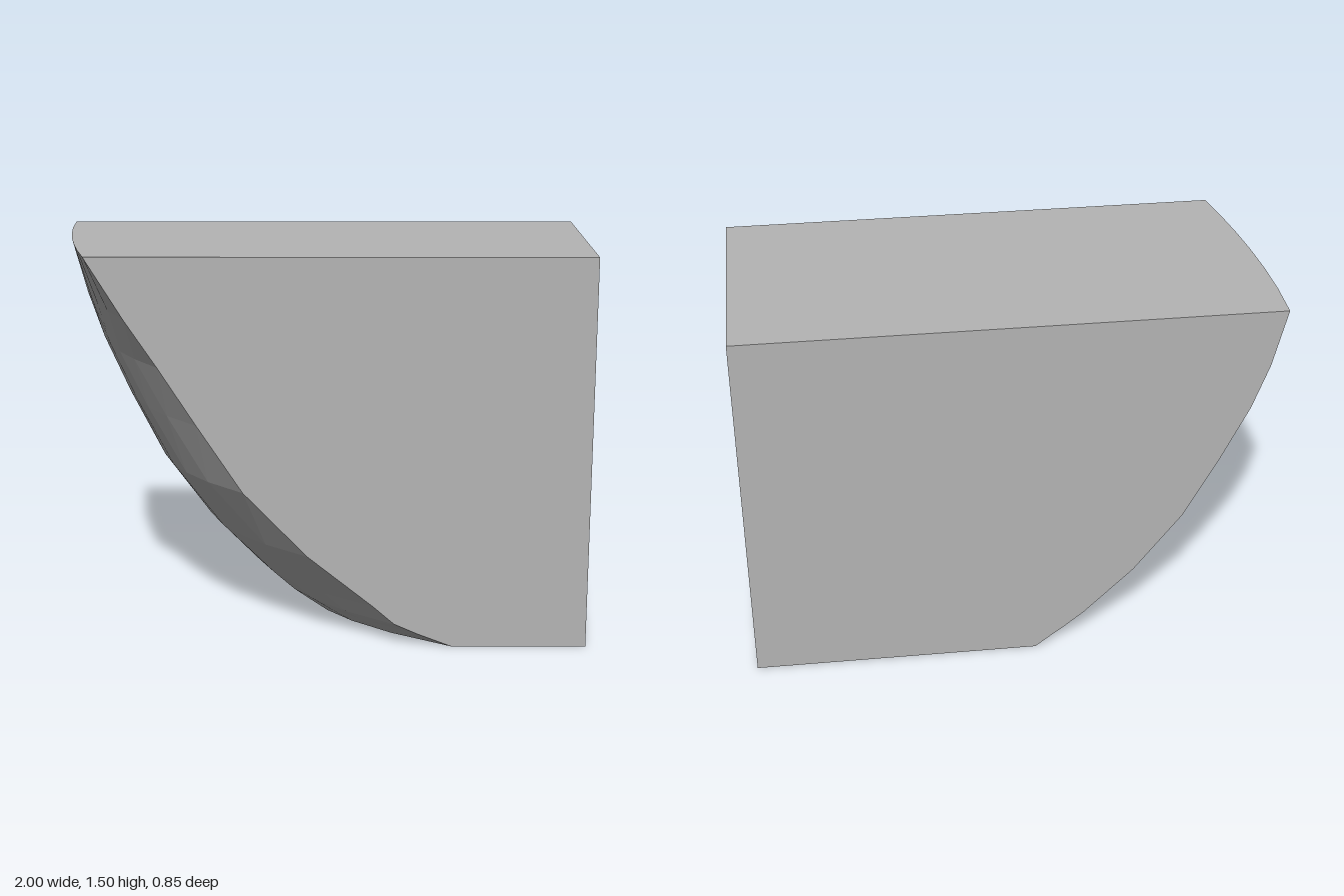
import * as THREE from 'three';

// Each row: height, wall x at the back edge, wall x at the front edge
const ROWS = [
  [0, -0.10, 0.49], [0.05, -0.16, 0.36], [0.09, -0.21, 0.27],
  [0.16, -0.29, 0.19], [0.36, -0.48, -0.06], [0.61, -0.66, -0.30],
  [0.87, -0.79, -0.47], [1.09, -0.89, -0.61], [1.27, -0.95, -0.73],
  [1.5, -1, -0.87],
];
const DEPTHS = [-0.425, -0.27, -0.12, 0.03, 0.15, 0.28, 0.425];
const HALF = 0.425;

// Horizontal outline: bulging wall from back to front, then the two square corners
function outline([y, back, front]) {
  const power = y < 0.8 ? 2.6 : THREE.MathUtils.mapLinear(y, 0.8, 1.5, 2.6, 1.8);
  const ring = DEPTHS.map((z) => {
    const f = Math.pow((z + HALF) / (2 * HALF), power);
    return [back + (front - back) * f, y, z];
  });
  ring.push([1, y, HALF], [1, y, -HALF]);
  return ring;
}

function loft(rings) {
  const positions = [];
  const tri = (a, b, c) => positions.push(...a, ...b, ...c);
  const n = rings[0].length;
  // Sides
  for (let r = 0; r < rings.length - 1; r++) {
    const low = rings[r], high = rings[r + 1];
    for (let i = 0; i < n; i++) {
      const j = (i + 1) % n;
      tri(low[i], low[j], high[j]);
      tri(low[i], high[j], high[i]);
    }
  }
  // Flat bottom and top
  const bottom = rings[0], top = rings[rings.length - 1];
  for (let i = 1; i < n - 1; i++) {
    tri(bottom[0], bottom[i + 1], bottom[i]);
    tri(top[0], top[i], top[i + 1]);
  }
  const geometry = new THREE.BufferGeometry();
  geometry.setAttribute('position', new THREE.Float32BufferAttribute(positions, 3));
  geometry.computeVertexNormals();
  return geometry;
}

export function createModel() {
  const group = new THREE.Group();
  group.name = 'curvedBlock';
  const grey = new THREE.MeshStandardMaterial({ color: 0xb4b4b4, flatShading: true });
  grey.name = 'grey';

  // Solid block with one rounded, undercut side
  const block = new THREE.Mesh(loft(ROWS.map(outline)), grey);
  block.name = 'block';
  group.add(block);
  return group;
}
